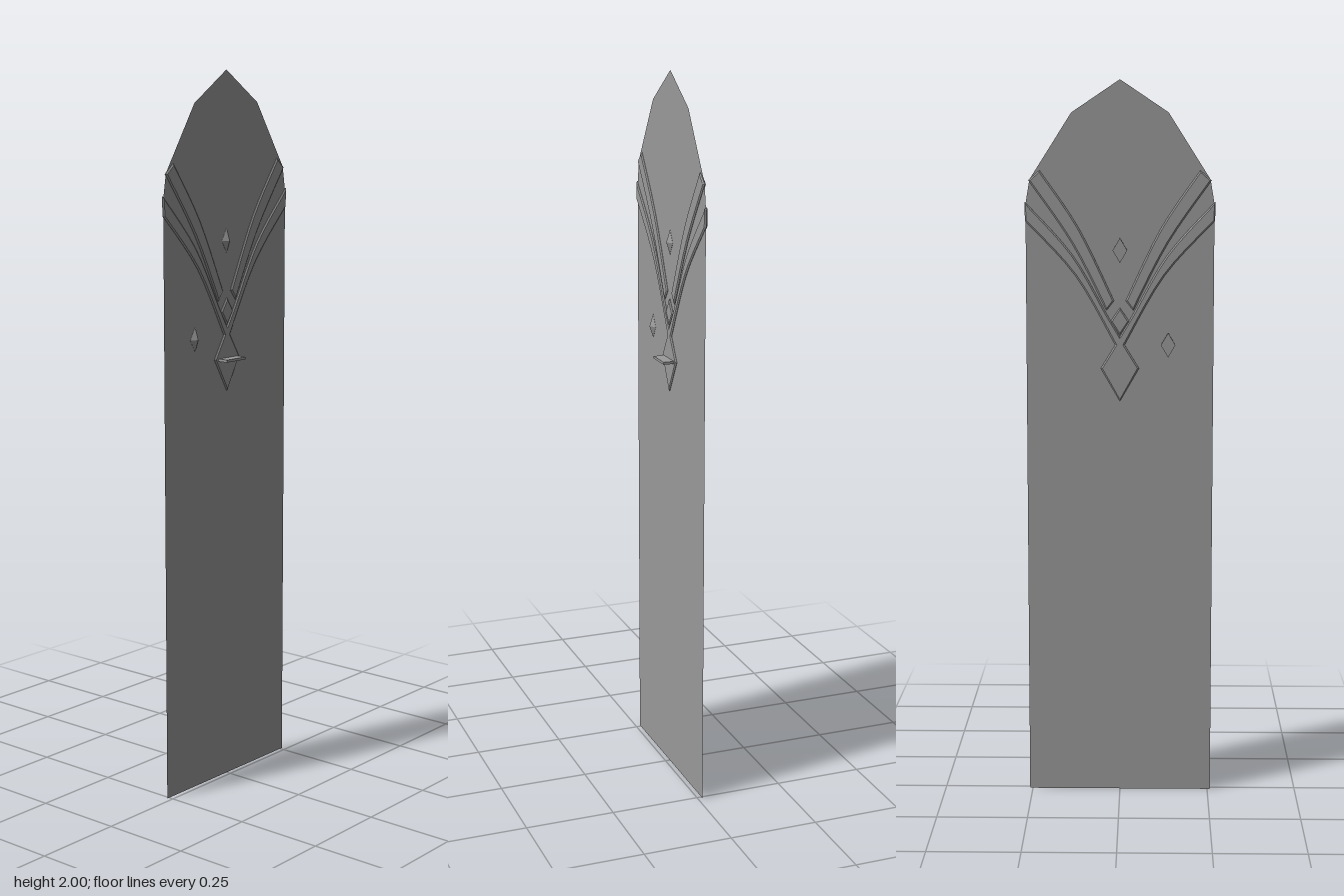
import * as THREE from 'three';

const grey = new THREE.MeshStandardMaterial({ color: 0x9a9a9a, flatShading: true, side: THREE.DoubleSide });
const BACK = -0.018, PANEL_Z = -0.0135;

const points = list => list.map(([x, y]) => new THREE.Vector2(x, y));
const mirrored = list => list.map(([x, y]) => [-x, y]).reverse();
const diamond = (x, y, w, h) => [[x, y - h], [x + w, y], [x, y + h], [x - w, y]];

// Smooth edge through a few points
function curve(list) {
  return new THREE.SplineCurve(points(list)).getPoints(10).map(p => [p.x, p.y]);
}

export function createModel() {
  const group = new THREE.Group();
  const add = (name, geometry, x = 0, y = 0, z = 0) => {
    const mesh = new THREE.Mesh(geometry, grey);
    mesh.name = name;
    mesh.position.set(x, y, z);
    group.add(mesh);
  };
  // Trim piece with chamfered edges, standing out on both faces of the panel
  const raised = (name, outline) => {
    const bevel = { bevelThickness: 0.003, bevelSize: 0.004, bevelOffset: -0.004, bevelSegments: 1 };
    const trim = new THREE.ExtrudeGeometry(new THREE.Shape(points(outline)), { depth: 0.0025, ...bevel });
    add(name, trim, 0, 0, BACK + bevel.bevelThickness);
  };

  // Flat cloth panel with a pointed top
  const side = [[0.258, 0], [0.258, 1.665], [0.247, 1.732], [0.132, 1.912]];
  add('panel', new THREE.ShapeGeometry(new THREE.Shape(
    points([...side, [0, 2], ...mirrored(side)]))), 0, 0, PANEL_Z);

  // Upper trim: one curved strip on each side
  const upperStrip = [
    ...curve([[0.037, 1.375], [0.132, 1.56], [0.25, 1.73]]),
    ...curve([[0.219, 1.757], [0.112, 1.6], [0.016, 1.402]]),
  ];
  raised('upperTrimLeft', upperStrip);
  raised('upperTrimRight', mirrored(upperStrip));

  // Lower trim: curved V running into a pointed pendant
  const outer = [[0.053, 1.215], ...curve([[0.013, 1.28], [0.122, 1.47], [0.26, 1.62]])];
  const inner = curve([[0.26, 1.672], [0.13, 1.528], [0.036, 1.365]]);
  const lowerHalf = [...outer, ...inner];
  raised('lowerTrim', [[0, 1.123], ...lowerHalf, [0, 1.303], ...mirrored(lowerHalf)]);

  // Small flat diamond between the trims
  raised('centreDiamond', diamond(0, 1.345, 0.026, 0.038));

  // Four-sided studs: a diamond base plate topped by a pyramid
  const profile = points([[0, 0], [1, 0], [1, 0.0085], [0, 0.0195]]);
  for (const [name, x, y] of [['upperStud', 0, 1.54], ['sideStud', -0.133, 1.28]]) {
    const stud = new THREE.LatheGeometry(profile, 4);
    stud.rotateX(Math.PI / 2);
    stud.scale(0.02, 0.034, 1);
    add(name, stud, x, y, -0.0215);
  }

  // Thin ledge through the pendant
  add('ledge', new THREE.BoxGeometry(0.079, 0.007, 0.042), 0.001, 1.213, 0);

  return group;
}
